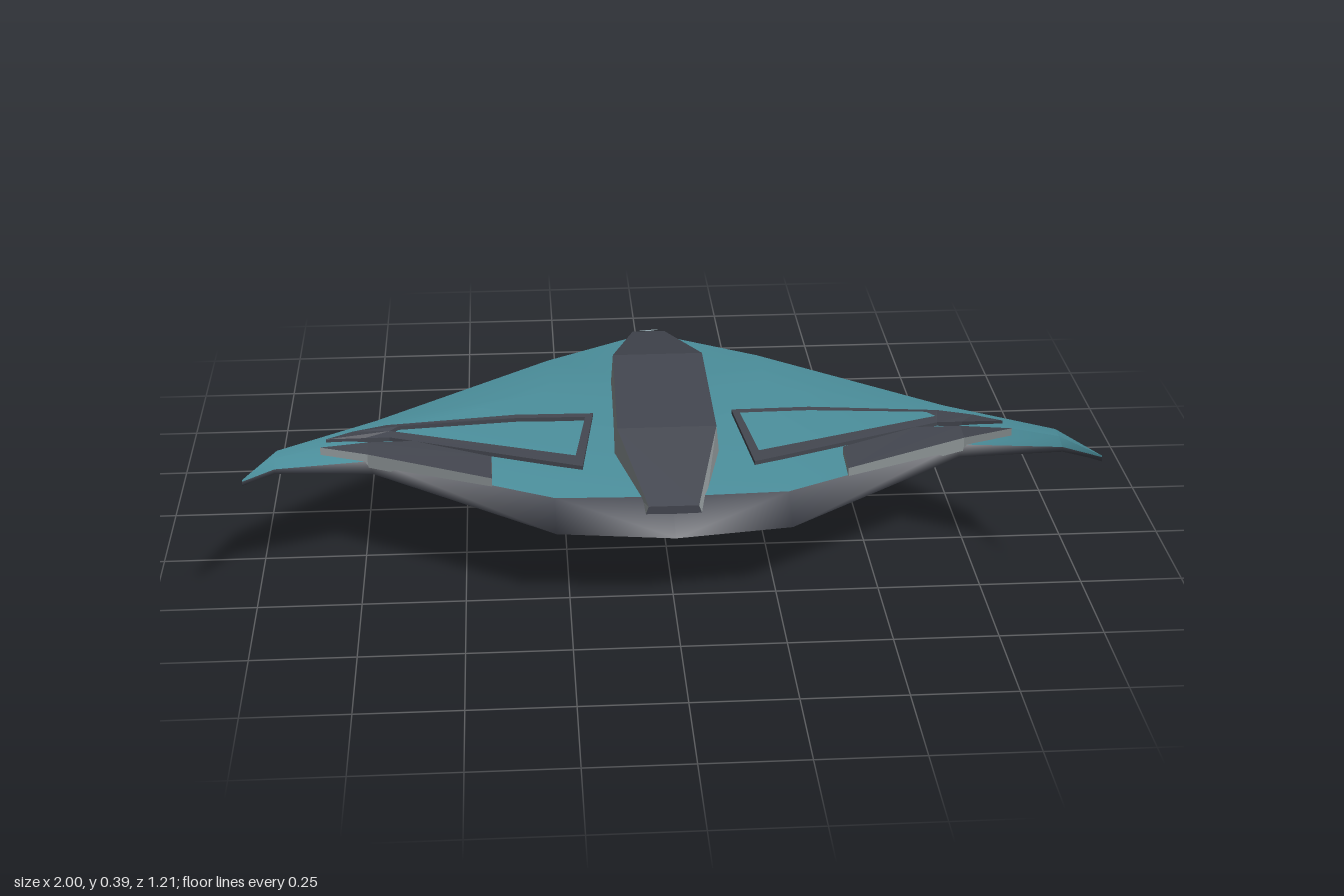
import * as THREE from 'three';
import { toCreasedNormals } from 'three/addons/utils/BufferGeometryUtils.js';

const mat = (name, color, side = THREE.FrontSide) => {
  const m = new THREE.MeshStandardMaterial({ color, side });
  m.name = name;
  return m;
};

// Half-hull stations: x, then a ring of [z, y]:
// front edge, front rim, crown, rear rim, back edge, belly rear, belly mid, belly front
const HALF = [
  [0, [[.59, .2], [.47, .25], [-.06, .306], [-.48, .275], [-.605, .215], [-.5, .165], [-.18, .117], [.37, .15]]],
  [.28, [[.56, .205], [.47, .255], [-.04, .308], [-.3, .278], [-.38, .225], [-.33, .18], [-.1, .137], [.37, .153]]],
  [.72, [[.31, .255], [.3, .285], [.18, .3], [.075, .288], [.055, .25], [.08, .24], [.15, .222], [.25, .235]]],
  [.94, [[.46, .335], [.455, .345], [.41, .353], [.37, .353], [.36, .345], [.37, .338], [.4, .33], [.43, .328]]],
  [1, [[.6, .377], [.598, .385], [.594, .387], [.59, .386], [.588, .382], [.59, .378], [.594, .375], [.598, .374]]],
];
const STATIONS = [...HALF.slice(1).reverse().map(([x, r]) => [-x, r]), ...HALF];

// Height of the upper hull surface at (x, z)
function topY(x, z) {
  const ax = Math.min(Math.abs(x), .999);
  const i = HALF.findIndex((s, k) => ax < HALF[k + 1][0]);
  const t = (ax - HALF[i][0]) / (HALF[i + 1][0] - HALF[i][0]);
  const pts = [1, 2, 3].map(j => [0, 1].map(k =>
    THREE.MathUtils.lerp(HALF[i][1][j][k], HALF[i + 1][1][j][k], t)));
  const [p, q] = z > pts[1][0] ? [pts[0], pts[1]] : [pts[1], pts[2]];
  const u = THREE.MathUtils.clamp((z - p[0]) / (q[0] - p[0]), 0, 1);
  return THREE.MathUtils.lerp(p[1], q[1], u);
}

// Skin over rings of 3D points, with one material group per listed strip
function loft(rings, strips, crease) {
  const n = rings[0].length, index = [];
  const g = new THREE.BufferGeometry();
  strips.forEach((j, s) => {
    const k = (j + 1) % n;
    for (let i = 0; i < rings.length - 1; i++) {
      const a = i * n + j, b = i * n + k, c = (i + 1) * n + k, d = (i + 1) * n + j;
      if (rings[i][0][0] < 0) index.push(a, d, b, d, c, b);
      else index.push(a, d, c, a, c, b);
    }
    const count = 6 * (rings.length - 1);
    g.addGroup(s * count, count, s);
  });
  g.setAttribute('position', new THREE.Float32BufferAttribute(rings.flat(2), 3));
  g.setIndex(index);
  return toCreasedNormals(g, crease);
}

// Raised plate that follows the upper hull; outline points are [x, z]
function plate(outline, hole, lift, mirror) {
  const v = pts => pts.map(([x, z]) => new THREE.Vector2(x * mirror, -z));
  const shape = new THREE.Shape(v(outline));
  if (hole) shape.holes.push(new THREE.Path(v(hole)));
  const g = new THREE.ExtrudeGeometry(shape, { depth: 1, bevelEnabled: false });
  g.rotateX(-Math.PI / 2);
  const p = g.attributes.position;
  for (let i = 0; i < p.count; i++) {
    p.setY(i, topY(p.getX(i), p.getZ(i)) + (p.getY(i) > .5 ? lift : -.015));
  }
  g.computeVertexNormals();
  return g;
}

export function createModel() {
  const model = new THREE.Group();
  model.name = 'wingedCraft';
  const teal = mat('teal', 0x4c909d);
  const gray = mat('hullGray', 0x8b9294);
  const slate = mat('slate', 0x43464f);
  const green = mat('green', 0x2f8a42);
  const pale = mat('paleBlue', 0xa4bac2, THREE.DoubleSide);
  const add = (parent, name, geometry, material) => {
    const m = new THREE.Mesh(geometry, material);
    m.name = name;
    parent.add(m);
    return m;
  };

  // Swept crescent hull: teal deck, gray rear bevel, slate belly and front edge
  const rings = STATIONS.map(([x, r]) => r.map(([z, y]) => [x, y, z]));
  add(model, 'upperHull', loft(rings, [1, 2], .6), teal);
  add(model, 'lowerHull', loft(rings, [3, 4, 5, 6, 7, 0], 3.1), [gray, gray, slate, slate, slate, slate]);

  // Faceted dorsal spine: z, top height, half width
  const spine = [[-.55, .245, .03], [-.48, .28, .043], [-.09, .38, .115], [.27, .34, .122], [.52, .25, .06]];
  const ribs = spine.map(([z, y, w]) => [
    [-w - .012, .215, z], [-w, y, z], [w, y, z], [w + .012, .215, z],
  ]);
  // Lofted along x, then turned to run along z
  const spineStrip = strips => {
    const g = loft(ribs.map(r => r.map(([x, y, z]) => [z + 1, y, -x])), strips, .1);
    g.translate(-1, 0, 0);
    g.rotateY(-Math.PI / 2);
    return g;
  };
  add(model, 'spineTop', spineStrip([1]), slate);
  add(model, 'spineSides', spineStrip([0, 2]), gray);
  [[ribs[4], 1], [ribs[0], -1]].forEach(([r, dir]) => {
    const end = new THREE.BufferGeometry();
    end.setAttribute('position', new THREE.Float32BufferAttribute(r.flat(), 3));
    end.setIndex(dir > 0 ? [0, 3, 2, 0, 2, 1] : [0, 2, 3, 0, 1, 2]);
    end.computeVertexNormals();
    add(model, dir > 0 ? 'spineFront' : 'spineBack', end, slate);
  });

  // Diamond marker near the tail
  const diamond = new THREE.BufferGeometry();
  diamond.setAttribute('position', new THREE.Float32BufferAttribute(
    [0, .261, -.523, -.028, .284, -.48, 0, .292, -.452, .028, .284, -.48], 3));
  diamond.setIndex([0, 1, 3, 1, 2, 3]);
  diamond.computeVertexNormals();
  add(model, 'tailDiamond', diamond, pale);

  // Wing frames and front blocks on both sides
  const frame = [[.175, .095], [.37, .1], [.69, .145], [.77, .2], [.83, .275], [.74, .225], [.68, .21], [.21, .345]];
  const frameHole = [[.195, .112], [.37, .117], [.66, .158], [.68, .18], [.225, .295]];
  const block = [[.43, .315], [.62, .243], [.73, .255], [.84, .34], [.73, .31], [.43, .415]];
  for (const s of [1, -1]) {
    const side = s > 0 ? 'left' : 'right';
    add(model, side + 'WingFrame', plate(frame, frameHole, .01, s), slate);
    add(model, side + 'FrontBlock', plate(block, null, .02, s), [slate, gray]);
  }

  // Ten-sided belly pod
  const pod = new THREE.Group();
  pod.name = 'bellyPod';
  pod.position.z = -.223;
  model.add(pod);
  const ring = (name, r0, r1, y0, y1, material, start = 0, count = 10) => {
    const g = new THREE.CylinderGeometry(r1, r0, y1 - y0, count, 1, true,
      Math.PI / 2 - (start + count) * Math.PI / 5, count * Math.PI / 5);
    g.translate(0, (y0 + y1) / 2, 0);
    add(pod, name, toCreasedNormals(g, .1), material);
  };
  ring('podCollar', .164, .15, .12, .165, gray);
  ring('podBand', .161, .164, .08, .12, slate);
  for (let k = 0; k < 10; k++) {
    ring(k % 2 ? 'podPanel' : 'podLight', .118, .161, .055, .08, k % 2 ? slate : green, k, 1);
  }
  ring('podLowerRing', .116, .118, .02, .055, gray);
  ring('podFoot', .1, .116, 0, .02, slate);
  const base = new THREE.CircleGeometry(.1, 10);
  base.rotateX(Math.PI / 2);
  add(pod, 'podBase', base, slate);

  return model;
}
